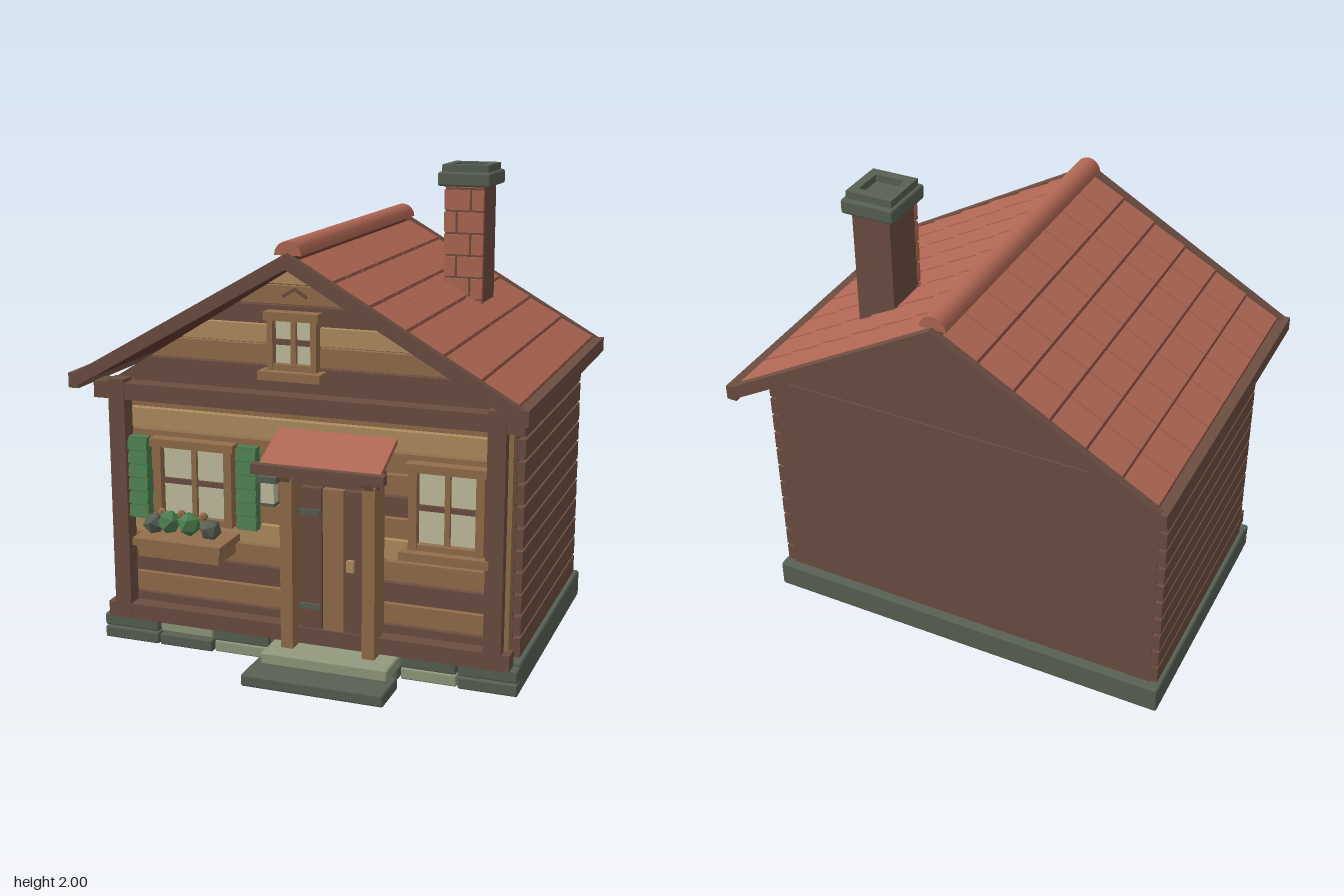
import * as THREE from 'three';
import { RoundedBoxGeometry } from 'three/addons/geometries/RoundedBoxGeometry.js';

const mat = (name, color) => {
  const m = new THREE.MeshStandardMaterial({ color });
  m.name = name;
  return m;
};

export function createModel() {
  const dark = mat('dark wood', 0x6d4e41), mid = mat('brown wood', 0x936e4b), light = mat('pale wood', 0xb18d60);
  const tile = mat('clay tile', 0xb06753), deck = mat('roof deck', 0x683a31);
  const stone = mat('dark stone', 0x576153), paleStone = mat('pale stone', 0x929a7e);
  const green = mat('green', 0x4c7f50), glass = mat('window glass', 0xc4c1a1);
  const house = new THREE.Group();
  house.name = 'house';

  const add = (name, geo, m, parent = house) => {
    const mesh = new THREE.Mesh(geo, m);
    mesh.name = name;
    parent.add(mesh);
    return mesh;
  };
  // Box given by its limits on each axis
  const box = (name, m, x0, x1, y0, y1, z0, z1, parent = house, bevel = 0) => {
    const s = [x1 - x0, y1 - y0, z1 - z0];
    const geo = bevel ? new RoundedBoxGeometry(...s, 1, bevel) : new THREE.BoxGeometry(...s);
    const mesh = add(name, geo, m, parent);
    mesh.position.set((x0 + x1) / 2, (y0 + y1) / 2, (z0 + z1) / 2);
    return mesh;
  };
  const group = (name) => {
    const g = new THREE.Group();
    g.name = name;
    house.add(g);
    return g;
  };
  // Flat outline extruded from z0 to z1
  const slab = (name, m, pts, z0, z1, parent = house) => {
    const shape = new THREE.Shape(pts.map((p) => new THREE.Vector2(...p)));
    const mesh = add(name, new THREE.ExtrudeGeometry(shape, { depth: z1 - z0, bevelEnabled: false }), m, parent);
    mesh.position.z = z0;
  };

  // Foundation with facing stones in two courses
  const base = group('foundation');
  box('foundationBlock', stone, -0.91, 0.91, 0.01, 0.13, -0.64, 0.49, base, 0.01);
  const xs = [-0.91, -0.65, -0.4, -0.14, 0.18, 0.42, 0.66, 0.91];
  for (let r = 0; r < 2; r++) {
    for (let i = 0; i < 7; i++) {
      const pale = r ? i === 1 || i === 4 : i === 2 || i === 5;
      const inset = pale ? 0.012 : 0;
      box('facingStone', pale ? paleStone : stone, xs[i] + 0.003, xs[i + 1] - 0.003,
        r ? 0.061 : 0.005, r ? 0.114 : 0.056, 0.47, 0.54 - inset, base, 0.008);
    }
  }
  box('lowerStep', stone, -0.16, 0.44, 0, 0.052, 0.61, 0.8, base, 0.01);
  box('upperStep', paleStone, -0.12, 0.42, 0.052, 0.106, 0.5, 0.685, base, 0.01);

  // Walls: core, side planks and coloured front boards
  const walls = group('walls');
  box('wallCore', dark, -0.86, 0.86, 0.12, 1.125, -0.6, 0.455, walls);
  const boards = [dark, mid, dark, mid, light, mid, dark, mid, mid, light, mid];
  boards.forEach((m, i) => {
    const y = 0.13 + i * 0.09;
    for (const s of [-1, 1]) {
      box('sidePlank', dark, s * 0.87 - 0.022, s * 0.87 + 0.022, y + 0.006, y + 0.084, -0.598, 0.45, walls);
    }
    box('frontBoard', m, -0.855, 0.855, y + 0.005, y + 0.085, 0.45, 0.49, walls);
  });

  // Gable with boards cut to the slope
  const half = (y) => (1.67 - y) / 0.62;
  slab('gableWall', dark, [[-half(1.13), 1.13], [half(1.13), 1.13], [0, 1.668]], -0.6, 0.46, walls);
  const gableYs = [1.14, 1.25, 1.335, 1.415, 1.495, 1.575, 1.669];
  [dark, mid, light, dark, mid, light].forEach((m, i) => {
    const a = gableYs[i] + 0.004, b = gableYs[i + 1] - 0.004;
    slab('gableBoard', m, [[-half(a), a], [half(a), a], [half(b), b], [-half(b), b]], 0.46, 0.49, walls);
  });
  for (const s of [-1, 1]) {
    const bar = box('gableOrnament', dark, -0.03, 0.03, -0.006, 0.006, 0.488, 0.5, walls);
    bar.position.set(-0.035 + s * 0.025, 1.545, 0.494);
    bar.rotation.z = -s * 0.55;
  }

  // Front timber frame
  const frame = group('timberFrame');
  box('sillBeam', dark, -0.875, 0.875, 0.112, 0.18, 0.48, 0.555, frame);
  box('topBeam', dark, -0.91, 0.91, 1.07, 1.14, 0.45, 0.552, frame);
  for (const s of [-1, 1]) {
    box('cornerPost', dark, s * 0.805 - 0.036, s * 0.805 + 0.036, 0.115, 1.155, 0.485, 0.558, frame);
    box('postEdge', mid, s * 0.85 - 0.01, s * 0.85 + 0.01, 0.18, 1.07, 0.47, 0.51, frame);
  }

  // Windows: pane, frame, cross bars and ledge
  const addWindow = (name, cx, y0, y1, hw, t, ledge) => {
    const g = group(name), z = 0.49;
    box('pane', glass, cx - hw, cx + hw, y0, y1, z - 0.005, z + 0.008, g);
    for (const s of [-1, 1]) {
      const x = cx + s * (hw + t / 2 - 0.003);
      box('jamb', mid, x - t / 2, x + t / 2, y0 - 0.02, y1 + 0.01, z - 0.01, z + 0.045, g);
    }
    box('windowHead', mid, cx - hw - t - 0.008, cx + hw + t + 0.008, y1, y1 + 0.034, z - 0.01, z + 0.055, g);
    box('uprightBar', mid, cx - 0.011, cx + 0.011, y0, y1, z, z + 0.025, g);
    const ym = (y0 + y1) / 2;
    box('crossBar', dark, cx - hw, cx + hw, ym - 0.011, ym + 0.011, z, z + 0.022, g);
    box('bottomRail', mid, cx - hw, cx + hw, y0 - 0.02, y0 + 0.004, z - 0.01, z + 0.04, g);
    if (ledge) box('ledge', mid, cx - hw - t - 0.025, cx + hw + t + 0.025, y0 - 0.055, y0 - 0.02, z - 0.01, z + 0.08, g);
  };
  addWindow('leftSideWindow', -0.48, 0.58, 0.88, 0.145, 0.034, false);
  addWindow('rightSideWindow', 0.604, 0.58, 0.88, 0.122, 0.034, true);
  addWindow('gableWindow', -0.035, 1.26, 1.44, 0.083, 0.024, true);

  // Slatted shutters
  for (const cx of [-0.727, -0.238]) {
    const g = group('shutter');
    box('shutterPanel', green, cx - 0.042, cx + 0.042, 0.56, 0.91, 0.48, 0.53, g);
    for (let i = 0; i < 6; i++) {
      const slat = box('slat', green, cx - 0.044, cx + 0.044, -0.024, 0.024, 0.52, 0.54, g);
      slat.position.y = 0.59 + i * 0.058;
      slat.rotation.x = -0.2;
    }
  }

  // Flower box with faceted plants
  const planter = group('flowerBox');
  box('planterBody', mid, -0.66, -0.3, 0.45, 0.51, 0.51, 0.68, planter);
  box('planterRim', mid, -0.675, -0.285, 0.5, 0.532, 0.5, 0.7, planter);
  [[-0.615, stone], [-0.545, green], [-0.455, green], [-0.36, stone]].forEach(([x, m], i) => {
    const bush = add('bush', new THREE.IcosahedronGeometry(i % 3 ? 0.052 : 0.047, 0), m, planter);
    bush.position.set(x, i % 3 ? 0.59 : 0.577, 0.62);
    bush.rotation.set(0.3, i * 0.9, 0.1 * i);
  });
  for (const x of [-0.585, -0.5, -0.4]) {
    add('flower', new THREE.IcosahedronGeometry(0.02, 0), mid, planter).position.set(x, 0.622, 0.6);
  }

  // Door with planks, hinges, handle and posts
  const door = group('door');
  box('doorBacking', dark, -0.02, 0.3, 0.12, 0.82, 0.48, 0.515, door);
  [dark, mid, dark].forEach((m, i) => {
    box('doorPlank', m, 0.004 + i * 0.094, 0.092 + i * 0.094, 0.175, 0.775, 0.51, 0.545, door);
  });
  for (const y of [0.275, 0.675]) box('hinge', stone, 0.0, 0.088, y - 0.012, y + 0.012, 0.545, 0.553, door);
  box('handle', light, 0.205, 0.235, 0.445, 0.492, 0.545, 0.565, door);
  for (const x of [-0.035, 0.313]) box('doorPost', mid, x - 0.026, x + 0.026, 0.106, 0.82, 0.485, 0.61, door);
  box('lintel', dark, -0.065, 0.345, 0.81, 0.865, 0.485, 0.6, door);

  // Sloping canopy on brackets
  const canopy = group('canopy');
  const sheet = box('canopyRoof', tile, -0.11, 0.39, -0.011, 0.011, -0.12, 0.12, canopy);
  sheet.position.set(0.14, 0.937, 0.594);
  sheet.rotation.x = 0.42;
  box('canopyBeam', dark, -0.135, 0.412, 0.865, 0.905, 0.68, 0.725, canopy);
  for (const x of [-0.035, 0.313]) {
    const arm = box('bracket', mid, x - 0.02, x + 0.02, -0.016, 0.016, -0.075, 0.075, canopy);
    arm.position.set(x, 0.842, 0.625);
    arm.rotation.x = -0.7;
  }

  // Lantern
  const lantern = group('lantern');
  box('lanternArm', stone, -0.108, -0.088, 0.83, 0.85, 0.48, 0.63, lantern);
  box('lanternGlass', glass, -0.127, -0.07, 0.722, 0.812, 0.598, 0.645, lantern);
  box('lanternCap', stone, -0.14, -0.055, 0.81, 0.835, 0.588, 0.655, lantern);
  box('lanternFoot', stone, -0.13, -0.067, 0.712, 0.724, 0.595, 0.648, lantern);

  // Roof: each slope is built flat along its length, then tilted
  const slope = Math.atan(0.57);
  for (const s of [-1, 1]) {
    const g = group(s > 0 ? 'leftRoof' : 'rightRoof');
    g.position.y = 1.725;
    g.rotation.z = -s * slope;
    const along = (name, m, d0, d1, y0, y1, z0, z1) =>
      box(name, m, Math.min(s * d0, s * d1), Math.max(s * d0, s * d1), y0, y1, z0, z1, g);
    along('roofDeck', deck, 0, 1.07, -0.045, -0.02, -0.78, 0.66);
    along('frontBargeboard', dark, 0, 1.075, -0.052, 0, 0.64, 0.68);
    along('backBargeboard', dark, 0, 1.075, -0.052, 0, -0.8, -0.765);
    for (let r = 0; r < 6; r++) {
      for (let c = 0; c < 8; c++) {
        const d = 0.045 + r * 0.168, z = -0.765 + c * 0.1756;
        const t = along('roofTile', tile, d, d + 0.158, -0.021, -0.004, z + 0.006, z + 0.17);
        t.rotation.z = s * 0.04;
      }
    }
    box('eaveBoard', dark, s * 0.93 - 0.022, s * 0.93 + 0.022, 1.135, 1.197, -0.8, 0.68);
  }
  const ridge = add('ridgeCap', new THREE.CylinderGeometry(0.055, 0.055, 1.42, 10, 1, false, Math.PI / 2, Math.PI), tile);
  ridge.rotation.x = Math.PI / 2;
  ridge.position.set(0, 1.715, -0.06);
  ridge.material.side = THREE.DoubleSide;

  // Chimney with a brick front and a stone cap
  const chimney = group('chimney');
  box('chimneyStack', dark, 0.362, 0.528, 1.35, 1.92, -0.43, -0.228, chimney);
  for (let r = 0; r < 7; r++) {
    const y = 1.345 + r * 0.0935, top = Math.min(y + 0.084, 1.91);
    const split = r % 2 ? 0.475 : 0.415;
    box('brick', tile, 0.36, split - 0.005, y, top, -0.24, -0.217, chimney);
    box('brick', tile, split + 0.005, 0.53, y, top, -0.24, -0.217, chimney);
  }
  box('chimneyCap', stone, 0.33, 0.56, 1.91, 1.97, -0.46, -0.207, chimney, 0.01);
  const rim = new THREE.Shape([[-0.1, -0.105], [0.1, -0.105], [0.1, 0.105], [-0.1, 0.105]].map((p) => new THREE.Vector2(...p)));
  rim.holes.push(new THREE.Path([[-0.064, -0.064], [-0.064, 0.064], [0.064, 0.064], [0.064, -0.064]].map((p) => new THREE.Vector2(...p))));
  const rimMesh = add('chimneyRim', new THREE.ExtrudeGeometry(rim, { depth: 0.032, bevelEnabled: false }), stone, chimney);
  rimMesh.rotation.x = -Math.PI / 2;
  rimMesh.position.set(0.445, 1.968, -0.333);

  return house;
}
